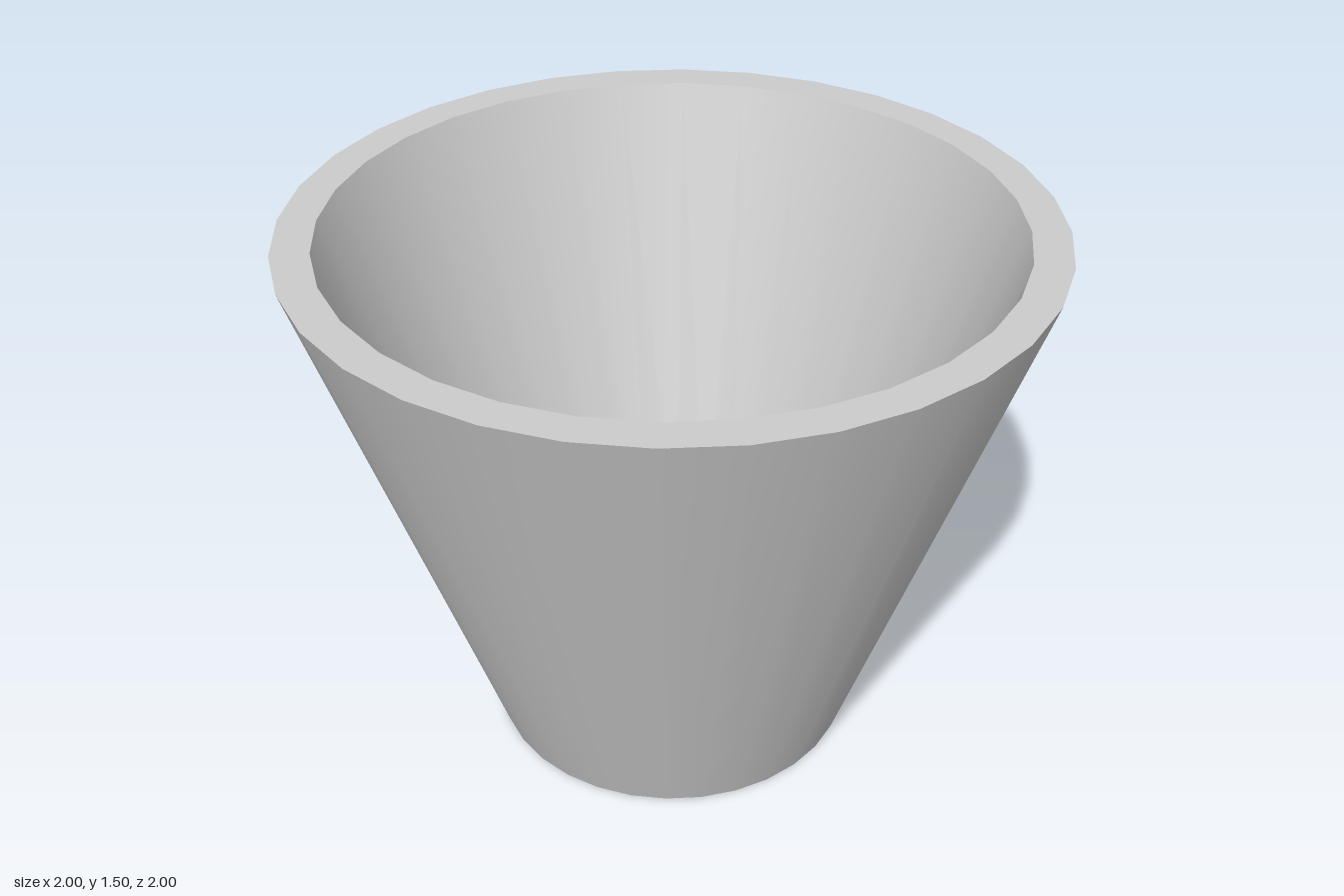
import * as THREE from 'three';

// A tapered open bucket: each profile segment is turned separately so its edges stay sharp.
export function createModel() {
  const bucket = new THREE.Group();
  bucket.name = 'bucket';
  const material = new THREE.MeshStandardMaterial({ color: 0xcccccc });
  const sides = 32;

  // Closed profile [radius, height], from the centre of the base round to the centre of the floor
  const profile = [[0, 0], [0.5, 0], [1, 1.5], [0.9, 1.5], [0.45, 0.15], [0, 0.15]]
    .map(([r, y]) => new THREE.Vector2(r, y));
  const names = ['base', 'outerWall', 'rim', 'innerWall', 'floor'];

  names.forEach((name, i) => {
    const part = new THREE.Mesh(new THREE.LatheGeometry([profile[i], profile[i + 1]], sides), material);
    part.name = name;
    bucket.add(part);
  });
  return bucket;
}
